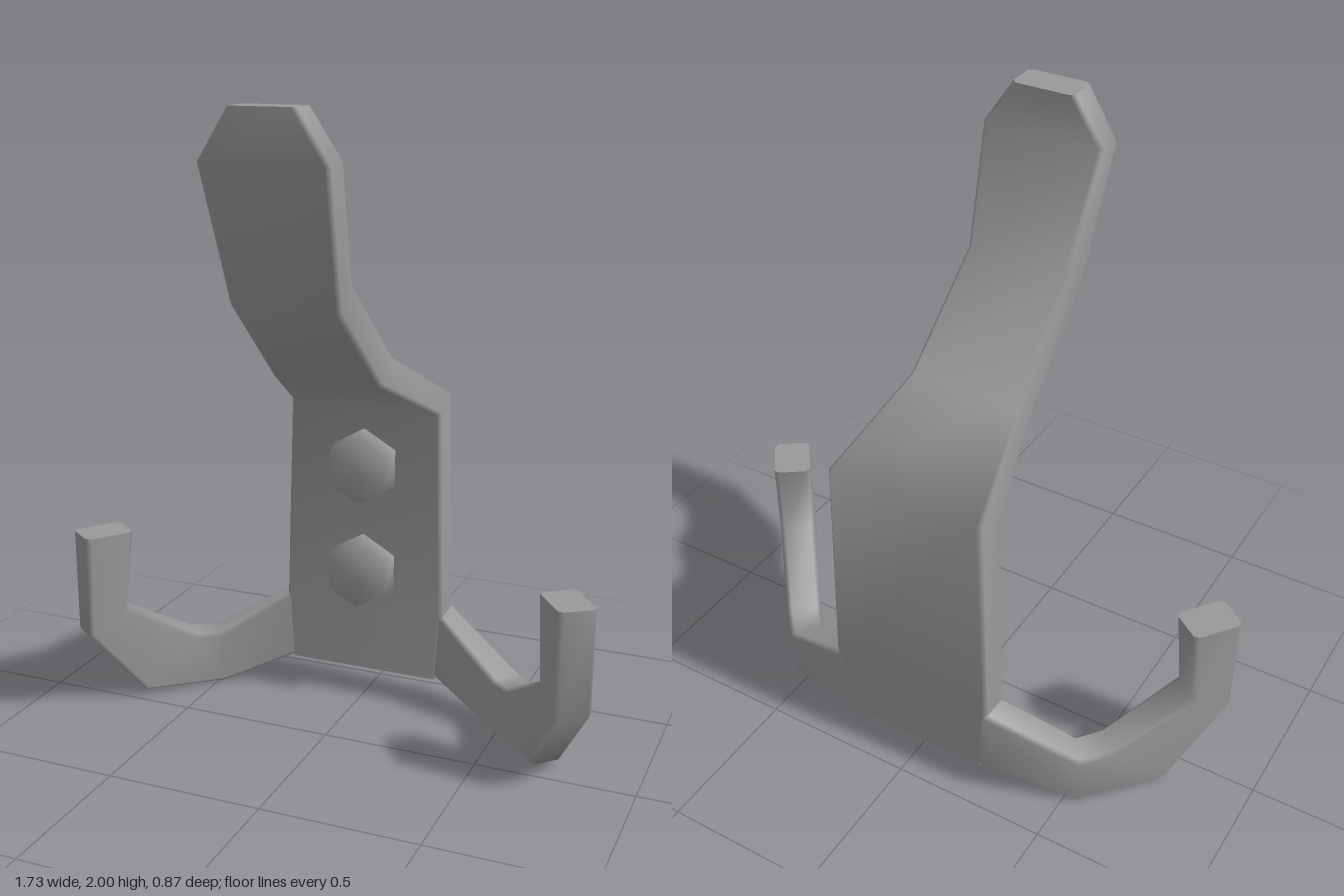
import * as THREE from 'three';

const V = (x, y, z) => new THREE.Vector3(x, y, z);

// Cut the four corners of a section, giving eight points
function bevel(corners, size = 0.014) {
  const points = [];
  corners.forEach((p, i) => {
    for (const q of [corners[(i + 3) % 4], corners[(i + 1) % 4]]) {
      points.push(p.clone().add(q.clone().sub(p).setLength(size)));
    }
  });
  return points;
}

// Skin a run of four-cornered sections, with separate flat end caps
function loft(sections) {
  const rings = sections.map((s) => bevel(s));
  const n = 8, last = rings.length - 1;
  const points = rings.flat(), index = [];
  for (let i = 0; i < last; i++) {
    for (let j = 0; j < n; j++) {
      const a = i * n + j, b = i * n + (j + 1) % n;
      index.push(a, b, b + n, a, b + n, a + n);
    }
  }
  for (const ring of [[...rings[0]].reverse(), rings[last]]) {
    const base = points.length;
    points.push(...ring);
    for (let j = 1; j < n - 1; j++) index.push(base, base + j, base + j + 1);
  }
  const geometry = new THREE.BufferGeometry().setFromPoints(points);
  geometry.setIndex(index);
  geometry.computeVertexNormals();
  return geometry;
}

export function createModel() {
  const group = new THREE.Group();
  const metal = new THREE.MeshStandardMaterial({ color: 0x999999 });
  metal.name = 'grey metal';
  const add = (name, geometry) => {
    const mesh = new THREE.Mesh(geometry, metal);
    mesh.name = name;
    group.add(mesh);
    return mesh;
  };

  // Wall plate bending forward into the upper hook:
  // half width, front y and z, back y and z
  const strap = [
    [0.262, 0.1, -0.324, 0.1, -0.435],
    [0.278, 0.33, -0.324, 0.33, -0.435],
    [0.258, 1.01, -0.324, 1.066, -0.435],
    [0.18, 1.167, -0.005, 1.24, -0.106],
    [0.17, 1.432, 0.292, 1.52, 0.207],
    [0.195, 1.85, 0.435, 1.86, 0.33],
    [0.1, 2, 0.438, 2, 0.33],
  ];
  add('backPlateAndUpperHook', loft(strap.map(([w, fy, fz, by, bz]) =>
    [V(w, fy, fz), V(w, by, bz), V(-w, by, bz), V(-w, fy, fz)])));

  // Side hooks: inner edge x, y, z, outer edge x, y, z,
  // then the half-thickness offset in x and z toward the front
  const arm = [
    [0.2, 0.325, -0.38, 0.2, 0.102, -0.38, 0, 0.055],
    [0.275, 0.33, -0.382, 0.265, 0.1, -0.382, -0.01, 0.053],
    [0.515, 0.18, -0.28, 0.51, 0.0, -0.28, -0.033, 0.047],
    [0.58, 0.187, -0.21, 0.71, 0.02, -0.065, -0.04, 0.04],
    [0.743, 0.33, -0.01, 0.825, 0.26, 0.1, -0.046, 0.037],
    [0.728, 0.6, -0.03, 0.825, 0.6, 0.1, -0.048, 0.035],
  ];
  for (const side of [1, -1]) {
    const sections = arm.map(([ix, iy, iz, ox, oy, oz, dx, dz]) => {
      const corners = [
        V(side * (ix - dx), iy, iz - dz), V(side * (ix + dx), iy, iz + dz),
        V(side * (ox + dx), oy, oz + dz), V(side * (ox - dx), oy, oz - dz),
      ];
      return side > 0 ? corners : corners.reverse();
    });
    add(side > 0 ? 'leftHook' : 'rightHook', loft(sections));
  }

  // Hexagonal bolt heads on the plate
  const profile = [[0.125, 0], [0.112, 0.066], [0, 0.068]].map(([r, h]) => new THREE.Vector2(r, h));
  const bolt = new THREE.LatheGeometry(profile, 6).rotateX(Math.PI / 2);
  [['upperBolt', 0.817], ['lowerBolt', 0.455]].forEach(([name, y]) => {
    add(name, bolt).position.set(0, y, -0.326);
  });

  return group;
}
